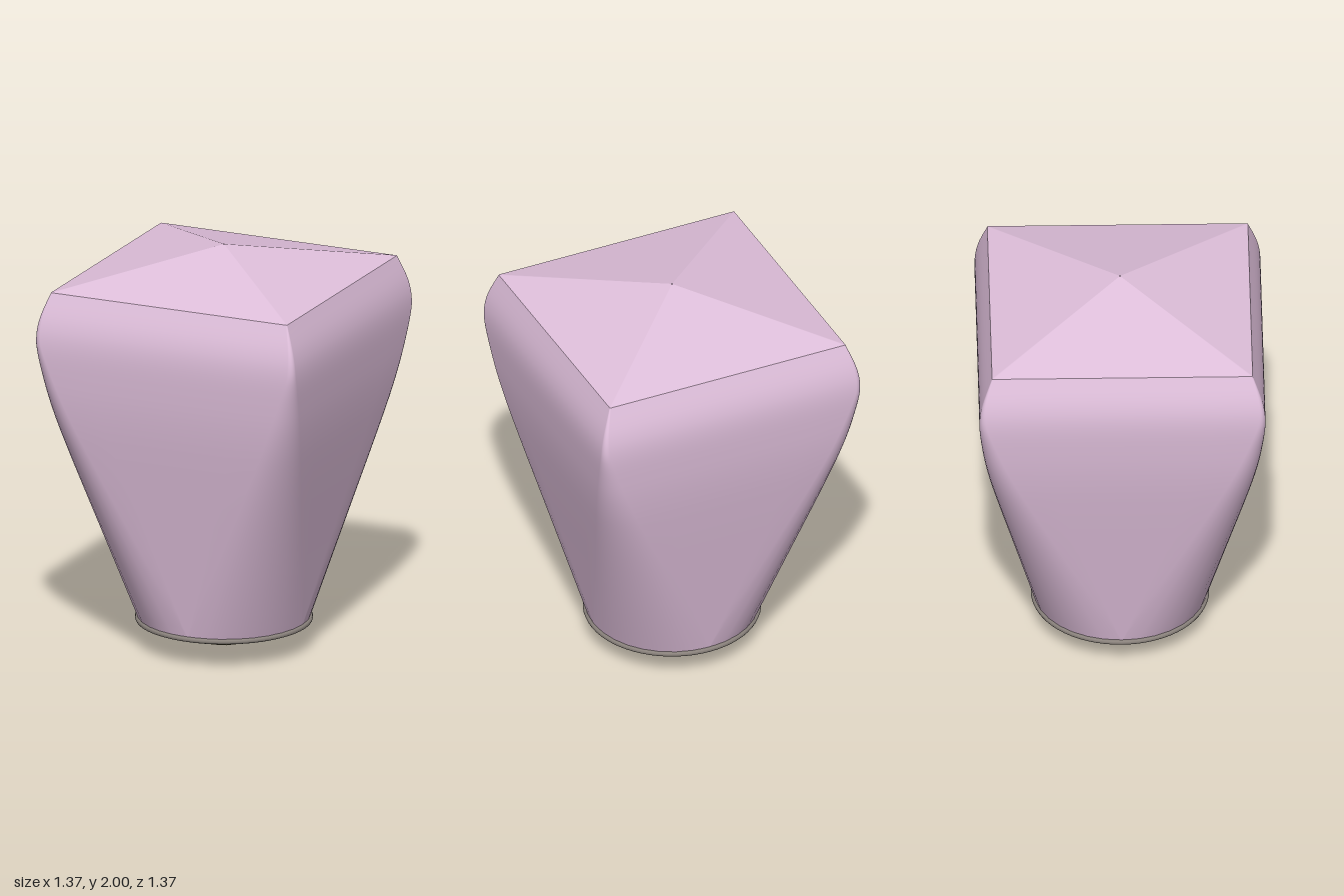
import * as THREE from 'three';

const ARC = 8, EDGE = 6;

// Rounded square of half width h and corner radius c at height y
function ring(y, h, c) {
  const pts = [], s = h - c;
  for (let q = 0; q < 4; q++) {
    const turn = q * Math.PI / 2, cos = Math.cos(turn), sin = Math.sin(turn);
    const add = (x, z) => pts.push([x * cos - z * sin, y, x * sin + z * cos]);
    for (let i = 0; i <= ARC; i++) {
      const a = i / ARC * Math.PI / 2;
      add(s + c * Math.cos(a), s + c * Math.sin(a));
    }
    for (let i = 1; i < EDGE; i++) add(s - 2 * s * i / EDGE, h);
  }
  return pts;
}

// Skin through closed rings, listed from bottom to top
function loft(rings) {
  const n = rings[0].length, index = [];
  for (let i = 0; i < rings.length - 1; i++) {
    for (let j = 0; j < n; j++) {
      const a = i * n + j, b = i * n + (j + 1) % n;
      index.push(a, a + n, b, b, a + n, b + n);
    }
  }
  const geo = new THREE.BufferGeometry();
  geo.setAttribute('position', new THREE.Float32BufferAttribute(rings.flat(2), 3));
  geo.setIndex(index);
  geo.computeVertexNormals();
  return geo;
}

export function createModel() {
  const group = new THREE.Group();
  const add = (name, geo, color, side = THREE.FrontSide) => {
    const mesh = new THREE.Mesh(geo, new THREE.MeshStandardMaterial({ color, side }));
    mesh.name = name;
    group.add(mesh);
    return mesh;
  };
  const pink = 0xe0c0dc;

  // Paper shade: round at the mouth, swelling into a square shoulder
  const profile = new THREE.SplineCurve([
    [0.41, 0.14], [0.505, 0.58], [0.6, 1.02], [0.645, 1.25],
    [0.67, 1.43], [0.683, 1.6], [0.668, 1.72], [0.622, 1.85],
  ].map(([h, y]) => new THREE.Vector2(h, y)));
  const walls = profile.getPoints(35).map(({ x: h, y }) => {
    const t = (y - 0.14) / 1.46;
    const c = t < 1 ? 0.41 + (0.035 - 0.41) * t : 0.035 - 0.03 * (y - 1.6) / 0.25;
    return ring(y, h, c);
  });
  add('shade', loft(walls), pink, THREE.DoubleSide);

  // Shallow pyramid top
  const roof = [0, 0.25, 0.5, 0.75, 0.995].map(t =>
    ring(1.85 + 0.15 * t, 0.622 * (1 - t), 0.005 * (1 - t)));
  add('roof', loft(roof), pink, THREE.DoubleSide);

  // Wire hoop around the mouth
  const hoop = add('hoop', new THREE.TorusGeometry(0.413, 0.013, 8, 64), 0x8a827c);
  hoop.rotation.x = Math.PI / 2;
  hoop.position.y = 0.14;

  // Bulb hanging just below the mouth
  const bulb = add('bulb', new THREE.SphereGeometry(0.265, 12, 6), 0xd8cc7c);
  bulb.position.y = 0.265;

  return group;
}
